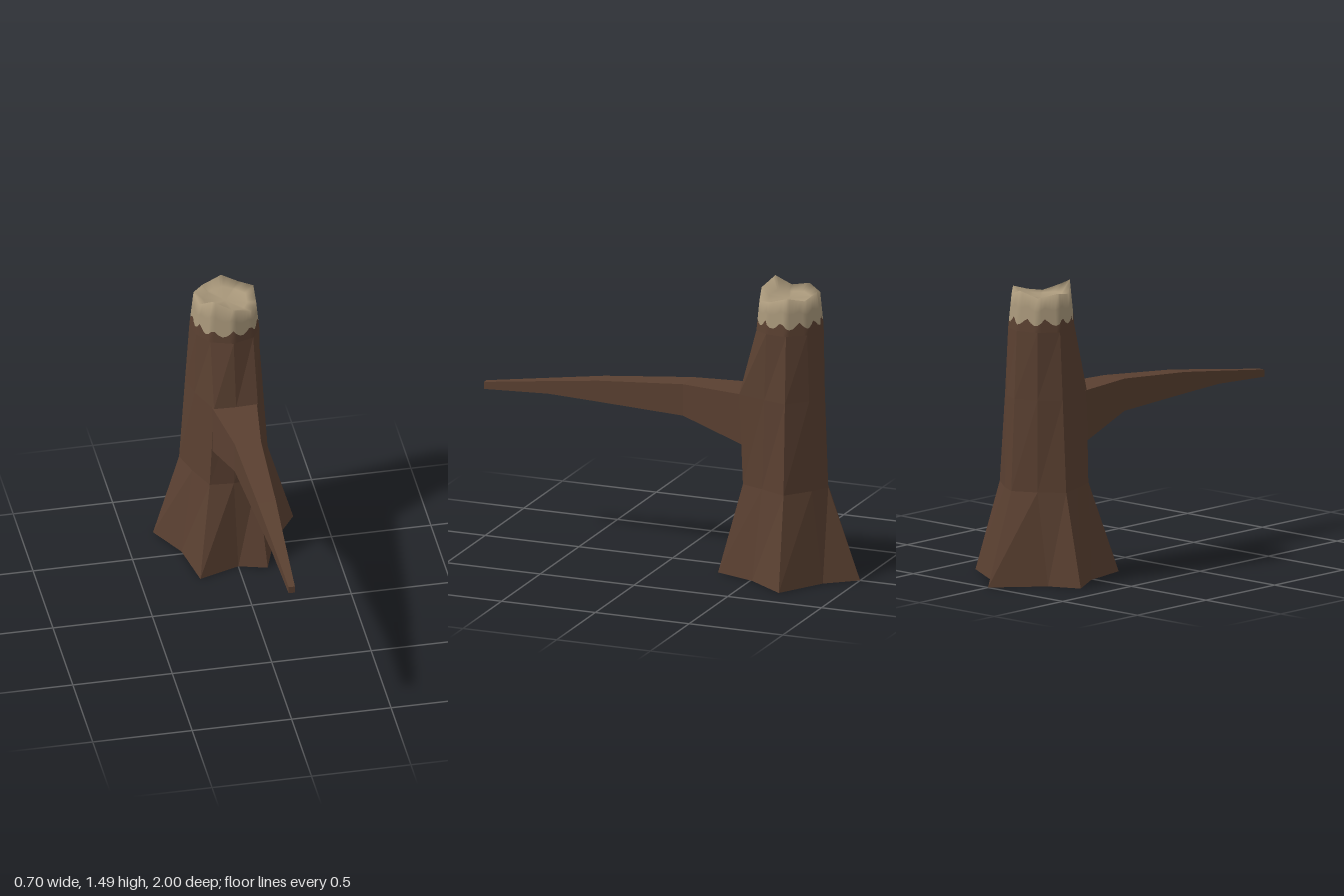
import * as THREE from 'three';

const bark = new THREE.MeshStandardMaterial({ color: 0x5a4031 });
bark.name = 'dark bark';
const wood = new THREE.MeshStandardMaterial({ color: 0xa8977a });
wood.name = 'pale bare wood';

const lerp = THREE.MathUtils.lerp;

// Skins a stack of closed rings; a ring may end in a fan to one centre point.
function loft(rings, { flat = true, startCentre, endCentre } = {}) {
  const n = rings[0].length;
  const points = rings.flat();
  const index = [];
  for (let r = 0; r < rings.length - 1; r++) {
    for (let i = 0; i < n; i++) {
      const a = r * n + i, b = r * n + (i + 1) % n;
      index.push(a, b, b + n, a, b + n, a + n);
    }
  }
  if (startCentre) {
    const c = points.push(startCentre) - 1;
    for (let i = 0; i < n; i++) index.push(c, (i + 1) % n, i);
  }
  if (endCentre) {
    const c = points.push(endCentre) - 1, s = (rings.length - 1) * n;
    for (let i = 0; i < n; i++) index.push(c, s + i, s + (i + 1) % n);
  }
  let geometry = new THREE.BufferGeometry();
  geometry.setAttribute('position', new THREE.Float32BufferAttribute(points.flat(), 3));
  geometry.setIndex(index);
  if (flat) geometry = geometry.toNonIndexed();
  geometry.computeVertexNormals();
  return geometry;
}

function add(group, name, geometry, material) {
  const mesh = new THREE.Mesh(geometry, material);
  mesh.name = name;
  group.add(mesh);
}

// Trunk outlines as [x, z], running from the front round by +x
const base = [[0, -0.34], [0.14, -0.3], [0.21, -0.51], [0.35, -0.71], [0.12, -0.85],
  [0, -1], [-0.2, -0.78], [-0.355, -0.71], [-0.25, -0.52], [-0.205, -0.27]];
const waist = [[-0.01, -0.4], [0.11, -0.42], [0.155, -0.54], [0.215, -0.68], [0.09, -0.78],
  [0, -0.83], [-0.12, -0.77], [-0.23, -0.68], [-0.19, -0.55], [-0.13, -0.41]];
const neck = [[0, -0.455], [0.105, -0.49], [0.15, -0.56], [0.16, -0.67], [0.09, -0.755],
  [0, -0.79], [-0.11, -0.76], [-0.18, -0.67], [-0.165, -0.57], [-0.11, -0.49]];
const rimHeights = [1.45, 1.41, 1.42, 1.45, 1.43, 1.46, 1.43, 1.45, 1.435, 1.49];
const cx = -0.01, cz = -0.62, neckY = 1.26;

// Outline at branch height: even taper, except the front that carries the branch
const shoulder = waist.map(([x, z], i) => [lerp(x, neck[i][0], 0.57), lerp(z, neck[i][1], 0.57)]);
shoulder[0] = [0, -0.395];
shoulder[1] = [0.11, -0.4];
shoulder[9] = [-0.11, -0.4];

const level = (outline, y) => outline.map(([x, z]) => [x, y, z]);

// Broken top: fine columns around the neck outline
const perSide = 6, columns = neck.length * perSide;
function column(i) {
  const a = Math.floor(i / perSide), b = (a + 1) % neck.length, t = (i % perSide) / perSide;
  return {
    x: lerp(neck[a][0], neck[b][0], t),
    z: lerp(neck[a][1], neck[b][1], t),
    rim: lerp(rimHeights[a], rimHeights[b], t),
    tear: 1.33 - 0.038 * Math.abs(Math.sin((i / columns) * Math.PI * 11)),
  };
}
function topRing(heightOf, scale = 1) {
  return Array.from({ length: columns }, (_, i) => {
    const c = column(i), y = heightOf(c);
    const s = scale * (1 - 0.12 * (y - neckY) / 0.2);
    return [cx + (c.x - cx) * s, y, cz + (c.z - cz) * s];
  });
}

// Square branch section at depth z
const section = (z, low, high, left, right) =>
  [[left, low, z], [right, low, z], [right, high, z], [left, high, z]];

export function createModel() {
  const group = new THREE.Group();
  group.name = 'brokenTree';

  add(group, 'trunk', loft(
    [level(base, 0), level(waist, 0.46), level(shoulder, 0.92), level(neck, neckY)],
    { startCentre: [cx, 0, cz] }), bark);

  // Bark ending in a scalloped tear
  add(group, 'tornBarkEdge', loft(
    [topRing(() => neckY), topRing(c => c.tear)], { flat: false }), bark);

  // Bare wood with a jagged rim and shallow hollow
  add(group, 'bareWoodTop', loft([
    topRing(c => c.tear),
    topRing(c => lerp(c.tear, c.rim, 0.5)),
    topRing(c => c.rim),
    topRing(c => lerp(1.405, c.rim, 0.25), 0.7),
  ], { flat: false, endCentre: [cx, 1.41, cz] }), wood);

  // Branch tapering forward
  add(group, 'branch', loft([
    section(-0.42, 0.66, 0.92, -0.118, 0.108),
    section(-0.08, 0.76, 0.922, -0.07, 0.062),
    section(0.38, 0.774, 0.882, -0.047, 0.045),
    section(0.65, 0.78, 0.845, -0.032, 0.032),
    section(1, 0.76, 0.796, -0.015, 0.017),
  ], { endCentre: [0.001, 0.778, 1] }), bark);

  return group;
}
